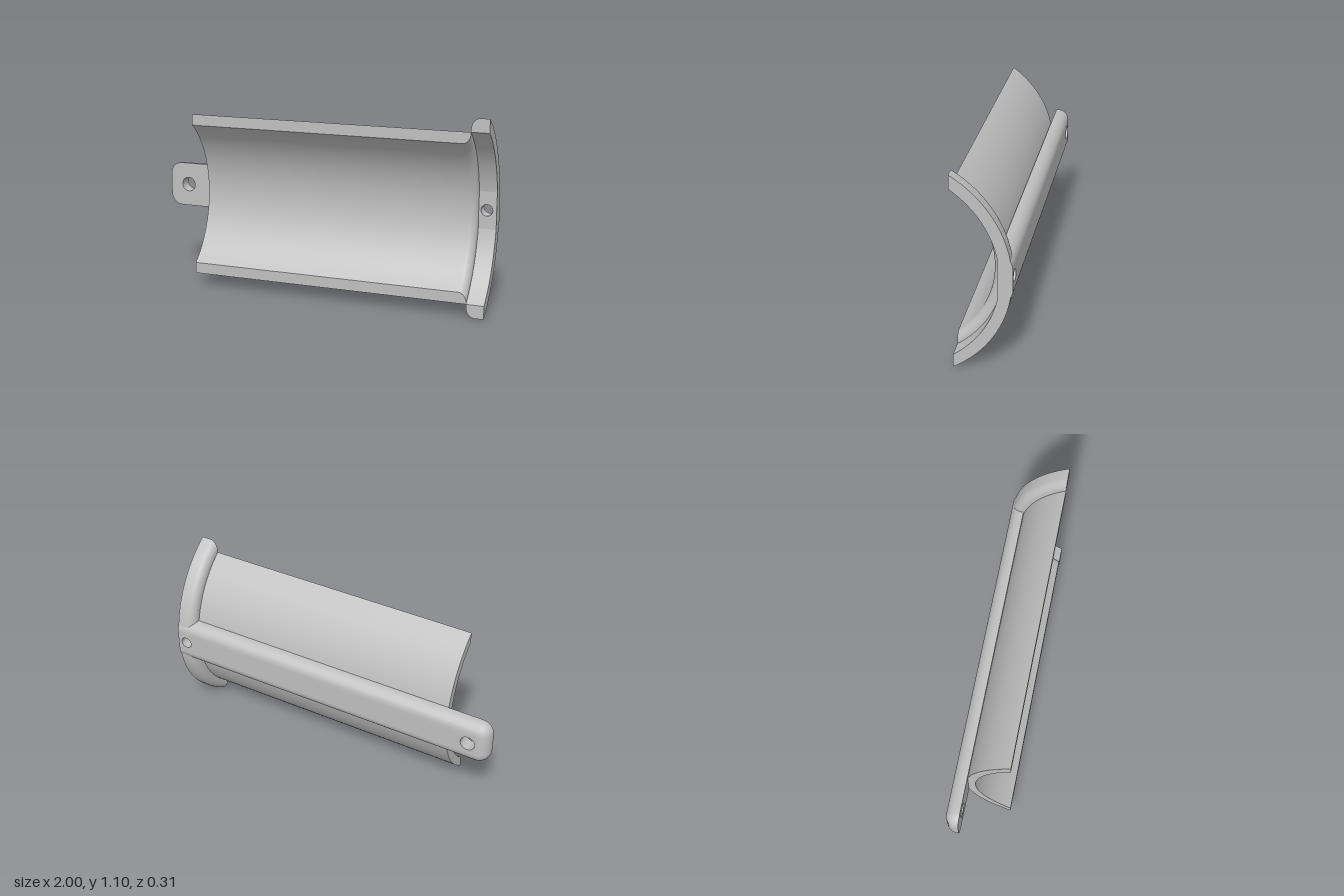
import * as THREE from 'three';
import { toCreasedNormals } from 'three/addons/utils/BufferGeometryUtils.js';

const CY = 0.55, CZ = 0.483;        // axis of the curved shell
const CUT = 0.155;                  // plane where the shell is cut open
const DROP = CZ - CUT;
const R_IN = 0.525, R_MID = 0.576, R_OUT = 0.64;

// Collects triangles, then gives them creased normals
class Builder {
  constructor() { this.pos = []; }
  grid(rows) {
    for (let i = 0; i < rows.length - 1; i++) {
      for (let j = 0; j < rows[i].length - 1; j++) {
        const a = rows[i][j], b = rows[i + 1][j], c = rows[i + 1][j + 1], d = rows[i][j + 1];
        this.pos.push(...a, ...d, ...b, ...d, ...c, ...b);
      }
    }
  }
  face(shape, map, flip = false) {
    const g = new THREE.ShapeGeometry(shape, 24).toNonIndexed().attributes.position;
    for (let i = 0; i < g.count; i += 3) {
      for (const k of flip ? [0, 2, 1] : [0, 1, 2]) this.pos.push(...map(g.getX(i + k), g.getY(i + k)));
    }
  }
  mesh(name, material) {
    const g = new THREE.BufferGeometry();
    g.setAttribute('position', new THREE.Float32BufferAttribute(this.pos, 3));
    const m = new THREE.Mesh(toCreasedNormals(g, 0.5), material);
    m.name = name;
    return m;
  }
}

const shapeOf = pts => new THREE.Shape(pts.map(p => new THREE.Vector2(p[0], p[1])));

function arc(cx, cy, r, from, to, n = 8) {
  return Array.from({ length: n + 1 }, (_, i) => {
    const a = from + (to - from) * i / n;
    return [cx + r * Math.cos(a), cy + r * Math.sin(a)];
  });
}

// Sweeps a closed (x, radius) profile round the axis between two angles
function sweep(b, profile, from, to, n) {
  b.grid([...profile, profile[0]].map(([x, r]) => Array.from({ length: n + 1 }, (_, j) => {
    const a = from(r) + (to(r) - from(r)) * j / n;
    return [x, CY + r * Math.sin(a), CZ - r * Math.cos(a)];
  })));
}

// Flat faces where the sweep meets the cut plane
function cutFaces(b, profile) {
  for (const s of [1, -1]) {
    b.face(shapeOf(profile.map(([x, r]) => [x, CY + s * Math.sqrt(r * r - DROP * DROP)])), (x, y) => [x, y, CUT]);
  }
}

const edgeAngle = r => Math.acos(DROP / r);

function makeShell(material) {
  const b = new Builder();
  const profile = [[-0.73, R_MID], [0.9, R_MID],
    ...arc(0.855, 0.57, 0.045, 0, -Math.PI / 2), [-0.73, R_IN]];
  sweep(b, profile, r => -edgeAngle(r), edgeAngle, 64);
  cutFaces(b, profile);
  return b.mesh('curvedShell', material);
}

function makeFlange(material) {
  const b = new Builder();
  const profile = [[0.9, R_MID], ...arc(0.95, 0.59, 0.05, Math.PI, Math.PI / 2),
    [1, R_OUT], [1, R_MID]];
  const inner = r => Math.asin(0.06 / r);   // gap filled by the spine
  sweep(b, profile, inner, edgeAngle, 28);
  sweep(b, profile, r => -edgeAngle(r), r => -inner(r), 28);
  cutFaces(b, profile);
  return b.mesh('endFlange', material);
}

function makeSpine(material) {
  const b = new Builder();
  const front = -0.083, back = -0.16, half = 0.13, corner = 0.07, round = 0.065;
  const holes = [[-0.885, 0.042], [0.945, 0.033]];

  // U-shaped outline, inset by d
  const outline = d => {
    const cx = -1 + corner, r = corner - d, h = half - corner;
    return [[1, CY - half + d],
      ...arc(cx, CY - h, r, -Math.PI / 2, -Math.PI),
      ...arc(cx, CY + h, r, Math.PI, Math.PI / 2),
      [1, CY + half - d]];
  };

  // Straight sides, then rounded back edges
  const levels = [[0, front], ...arc(round, back + round, round, Math.PI, Math.PI * 1.5)];
  b.grid(levels.map(([d, z]) => outline(d).map(([x, y]) => [x, y, z])));

  // Front and back faces with holes
  for (const [d, z, flip] of [[0, front, false], [round, back, true]]) {
    const s = shapeOf(outline(d));
    for (const [x, r] of holes) {
      s.holes.push(new THREE.Path(arc(x, CY, r, 0, Math.PI * 2, 32).slice(0, -1).map(p => new THREE.Vector2(...p))));
    }
    b.face(s, (x, y) => [x, y, z], flip);
  }

  // Hole walls
  for (const [x, r] of holes) {
    const ring = arc(x, CY, r, 0, Math.PI * 2, 32);
    b.grid([front, back].map(z => ring.map(p => [...p, z])));
  }

  // Square end
  const side = s => levels.map(([d, z]) => [CY + s * (half - d), z]);
  b.face(shapeOf([...side(1), ...side(-1).reverse()]), (y, z) => [1, y, z]);
  return b.mesh('mountingSpine', material);
}

export function createModel() {
  const grey = new THREE.MeshStandardMaterial({ color: 0xc0c0c0 });
  grey.name = 'plain grey';
  const group = new THREE.Group();
  group.name = 'halfPipeBracket';
  group.add(makeShell(grey), makeFlange(grey), makeSpine(grey));
  return group;
}
